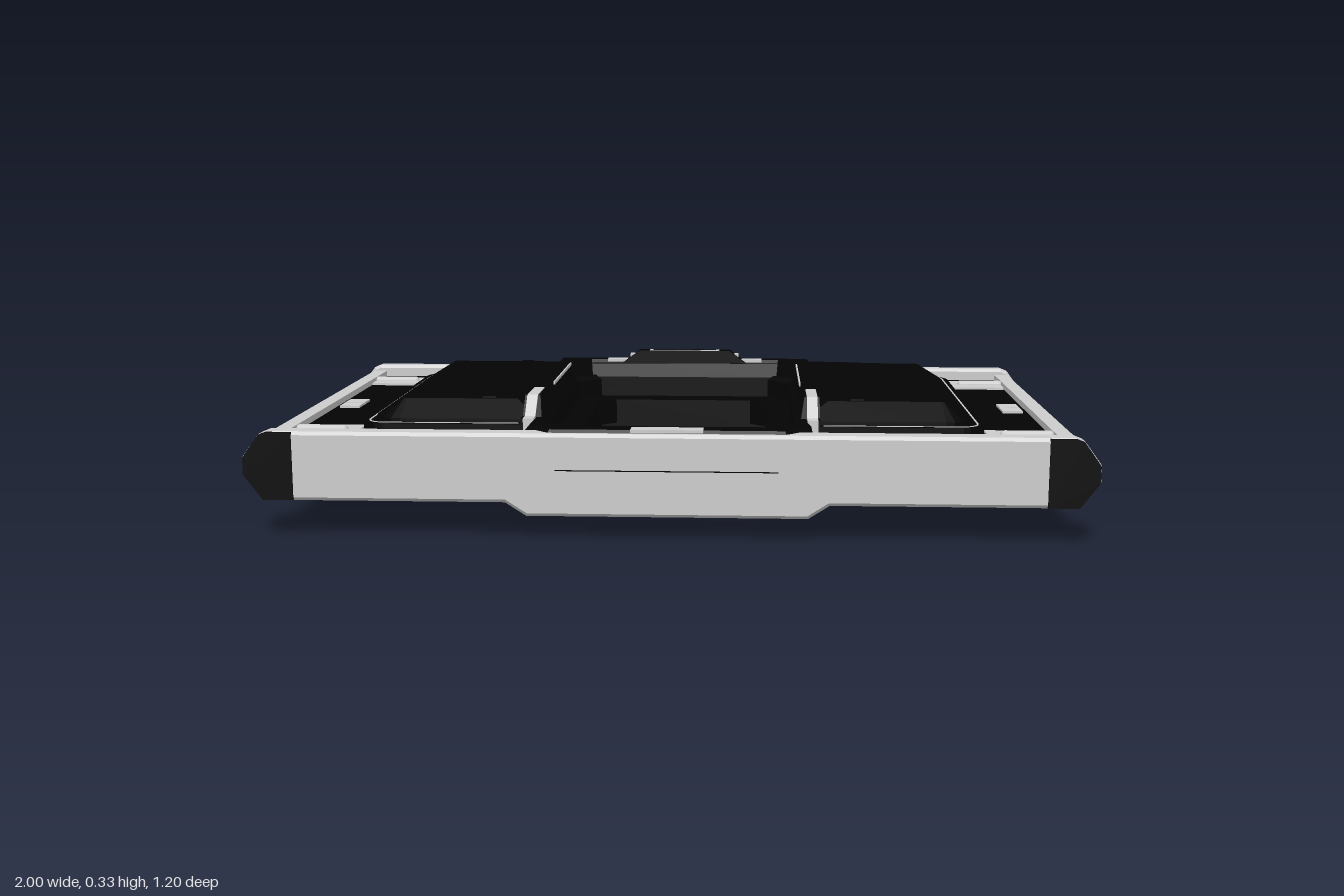
import * as THREE from 'three';

const light = new THREE.MeshStandardMaterial({ color: 0xcccccc });
light.name = 'lightGrey';
const black = new THREE.MeshStandardMaterial({ color: 0x030303, side: THREE.DoubleSide });
black.name = 'black';
const MID = 0.1665;

function add(group, name, geometry, material) {
  const mesh = new THREE.Mesh(geometry, material);
  mesh.name = name;
  group.add(mesh);
  return mesh;
}

// Box given by its x, y and z ranges
function box(group, name, material, x0, x1, y0, y1, z0, z1) {
  const m = add(group, name, new THREE.BoxGeometry(x1 - x0, y1 - y0, z1 - z0), material);
  m.position.set((x0 + x1) / 2, (y0 + y1) / 2, (z0 + z1) / 2);
  return m;
}

const vectors = (pts) => pts.map((p) => new THREE.Vector2(...p));
const path = (pts) => pts.map(([x, z]) => new THREE.Vector2(x, -z));

// Rectangle in plan with cut corners
const plate = (w, z0, z1, c) => [
  [-w, z0 + c], [-w, z1 - c], [-w + c, z1], [w - c, z1],
  [w, z1 - c], [w, z0 + c], [w - c, z0], [-w + c, z0],
];

// Rounded rectangle in plan, broken at the front between -gap and gap
function cup(w, z0, z1, r, gap) {
  const pts = [[-gap, z1]];
  [[-1, z1 - r, 1], [-1, z0 + r, 2], [1, z0 + r, 3], [1, z1 - r, 4]].forEach(([sx, cz, quarter]) => {
    for (let i = 0; i <= 5; i++) {
      const a = (quarter + i / 5) * Math.PI / 2;
      pts.push([sx * (w - r) + r * Math.cos(a), cz + r * Math.sin(a)]);
    }
  });
  pts.push([gap, z1]);
  return pts;
}

// Horseshoe in plan, open to the front
const horseshoe = (w, z0, z1, r, iw, iz) => [
  ...cup(w, z0, z1, r, iw), [iw, iz + 0.05], [iw - 0.05, iz], [-iw + 0.05, iz], [-iw, iz + 0.05],
];

// Plan outline thickened equally above and below the middle, with sloped edges
function slab(group, name, pts, top, size = 0, rise = 0, hole = null) {
  const shape = new THREE.Shape(path(pts));
  if (hole) shape.holes.push(new THREE.Path(path(hole)));
  const depth = 2 * (top - MID - rise);
  const g = new THREE.ExtrudeGeometry(shape, {
    depth, bevelEnabled: size > 0, bevelSize: size, bevelOffset: -size, bevelThickness: rise, bevelSegments: 1,
  });
  g.translate(0, 0, -depth / 2).rotateX(-Math.PI / 2);
  const mesh = add(group, name, g, black);
  mesh.position.y = MID;
  return mesh;
}

// Long rail with pointed ends; drop lowers the middle of its underside
function rail(group, name, z0, z1, drop) {
  const pts = [[0.94, 0.253], [-0.94, 0.253], [-0.96, 0.245], [-1, 0.19], [-1, 0.15], [-0.955, 0.088]];
  if (drop) pts.push([-0.38, 0.088], [-0.33, 0.056], [0.33, 0.056], [0.38, 0.088]);
  pts.push([0.955, 0.088], [1, 0.15], [1, 0.19], [0.96, 0.245]);
  const g = new THREE.ExtrudeGeometry(new THREE.Shape(vectors(pts)), {
    depth: z1 - z0 - 0.016, bevelSize: 0.008, bevelOffset: -0.008, bevelThickness: 0.008, bevelSegments: 1,
  });
  add(group, name, g.translate(0, 0, z0 + 0.008), light);
}

// Black pointed plate on the outer face of a rail end
function cap(group, side, z) {
  const pts = [[0.88, 0.09], [0.952, 0.09], [0.997, 0.15], [0.997, 0.19], [0.957, 0.246], [0.94, 0.252], [0.88, 0.252]];
  const s = new THREE.Shape(vectors(pts.map(([x, y]) => [x * side, y])));
  const g = new THREE.ExtrudeGeometry(s, { depth: 0.008, bevelEnabled: false });
  add(group, 'railEndCap', g.translate(0, 0, z), black);
}

// Strip along z that follows the frame down to the front
function strip(group, name, material, x0, x1) {
  const s = new THREE.Shape(vectors([
    [0.22, 0.2], [0.43, 0.2], [0.43, 0.262], [0.395, 0.262], [0.345, 0.307], [0.22, 0.307],
  ]));
  const g = new THREE.ExtrudeGeometry(s, { depth: x1 - x0, bevelEnabled: false }).rotateY(-Math.PI / 2);
  add(group, name, g, material).position.x = x1;
}

// Fittings on one broad face
function createFittings() {
  const g = new THREE.Group();
  g.name = 'faceFittings';
  const pad = (name, x0, x1, z0, z1, y, mat = light) => box(g, name, mat, x0, x1, y - 0.004, y + 0.004, z0, z1);

  for (const s of [-1, 1]) {
    const side = (name, a, b, z0, z1, y, mat) => pad(name, Math.min(a * s, b * s), Math.max(a * s, b * s), z0, z1, y, mat);
    // Corner pads with a raised rib
    side('backCornerStrip', 0.59, 0.92, -0.485, -0.45, 0.222);
    side('backCornerPad', 0.765, 0.92, -0.45, -0.36, 0.222);
    side('frontCornerStrip', 0.6, 0.92, 0.425, 0.455, 0.222);
    side('frontCornerPad', 0.765, 0.92, 0.335, 0.425, 0.222);
    for (const z of [-0.425, 0.395]) {
      const rib = add(g, 'padRib', new THREE.CapsuleGeometry(0.011, 0.11, 4, 10), light);
      rib.rotation.z = Math.PI / 2;
      rib.position.set(s * 0.86, 0.226, z);
    }
    // Small edge markers
    side('backMarker', 0.432, 0.487, -0.56, -0.505, 0.222);
    side('frontMarker', 0.432, 0.487, 0.48, 0.53, 0.222);
    side('sideMarkerBack', 0.855, 0.908, -0.068, -0.012, 0.222);
    side('sideMarkerFront', 0.855, 0.908, -0.006, 0.048, 0.222);
    // Panel seam and centre trims
    side('panelSeam', 0.438, 0.47, -0.34, 0.33, 0.296, black);
    side('trimLine', 0.318, 0.322, -0.25, 0.12, 0.302);
    side('backTrim', 0.16, 0.222, -0.362, -0.336, 0.302);
    side('handleEnd', 0.13, 0.156, -0.36, -0.338, 0.3175);
    // Light frame strip with a black outer cheek
    strip(g, 'frameStrip', light, s > 0 ? 0.331 : -0.357, s > 0 ? 0.357 : -0.331);
    strip(g, 'stripCheek', black, s > 0 ? 0.357 : -0.362, s > 0 ? 0.362 : -0.357);
  }

  // Fine outline around the raised panels
  const line = [...cup(0.747, -0.43, 0.413, 0.045, 0.37), ...cup(0.743, -0.426, 0.409, 0.041, 0.37).reverse()];
  const lg = new THREE.ExtrudeGeometry(new THREE.Shape(path(line)), { depth: 0.004, bevelEnabled: false });
  add(g, 'panelOutline', lg.rotateX(-Math.PI / 2), light).position.y = 0.2435;

  // Back handle with its light inset
  const hs = new THREE.Shape(vectors([[-0.18, 0.295], [0.18, 0.295], [0.13, 0.331], [-0.13, 0.331]]));
  const hg = new THREE.ExtrudeGeometry(hs, { depth: 0.037, bevelEnabled: false });
  add(g, 'handle', hg.translate(0, 0, -0.367), black);
  pad('handleInset', -0.1, 0.1, -0.362, -0.337, 0.328);
  pad('handleSlot', -0.09, 0.09, -0.356, -0.343, 0.329, black);

  // Back latch
  box(g, 'latchBracket', black, -0.17, 0.17, 0.2, 0.255, -0.573, -0.54);
  pad('latchPlate', -0.07, 0.07, -0.55, -0.5, 0.225);
  pad('latchSlot', -0.025, 0.025, -0.535, -0.52, 0.227, black);
  for (const x of [-0.105, 0.105]) pad('latchPin', x - 0.01, x + 0.01, -0.57, -0.56, 0.2525);

  // Front tab and the light liner behind the front bar
  pad('frontTab', -0.085, 0.085, 0.53, 0.569, 0.2575);
  box(g, 'frontLiner', light, -0.22, 0.22, 0.224, 0.244, 0.496, 0.503);
  return g;
}

export function createModel() {
  const root = new THREE.Group();
  root.name = 'framedPanel';

  // Core plate with a thin rim around the opening
  slab(root, 'corePlate', plate(0.925, -0.565, 0.545, 0.005), 0.22, 0, 0, plate(0.315, -0.33, 0.5, 0.05));
  slab(root, 'openingRim', plate(0.32, -0.335, 0.505, 0.045), 0.2, 0, 0, plate(0.235, -0.255, 0.46, 0.045));

  // Panel step, raised panels and centre frame
  slab(root, 'panelStep', horseshoe(0.76, -0.44, 0.423, 0.055, 0.318, -0.335), 0.246);
  slab(root, 'raisedPanels', horseshoe(0.735, -0.42, 0.4, 0.07, 0.318, -0.335), 0.295, 0.065, 0.04);
  slab(root, 'centreFrame', plate(0.34, -0.4, 0.575, 0.06), 0.26, 0.012, 0.012, plate(0.3, -0.33, 0.5, 0.06));

  // Collar whose back and front ends slope down
  const collar = slab(root, 'centreCollar', horseshoe(0.365, -0.43, 0.4, 0.03, 0.315, -0.33), 0.305, 0.01, 0.05).geometry;
  const pos = collar.attributes.position;
  for (let i = 0; i < pos.count; i++) {
    const z = pos.getZ(i);
    if (Math.abs(pos.getY(i)) > 0.12 && (z < -0.39 || z > 0.36)) pos.setZ(i, z - Math.sign(z) * 0.05);
  }
  collar.computeVertexNormals();

  // Outer rails
  rail(root, 'frontRail', 0.53, 0.588, true);
  rail(root, 'backRail', -0.596, -0.55, false);
  for (const s of [-1, 1]) {
    const r = box(root, 'sideRail', light, -0.019, 0.019, 0.1, 0.236, -0.555, 0.535);
    r.position.x = s * 0.94;
    cap(root, s, 0.584);
    cap(root, s, -0.6);
  }

  // Thin lip along the middle of the front rail
  const lip = add(root, 'frontLip', new THREE.PlaneGeometry(0.52, 0.02).rotateX(-Math.PI / 2), black);
  lip.position.set(0, 0.168, 0.59);

  // The same fittings on the upper and lower faces
  root.add(createFittings());
  const under = createFittings();
  under.rotation.z = Math.PI;
  under.position.y = 2 * MID;
  root.add(under);
  return root;
}
